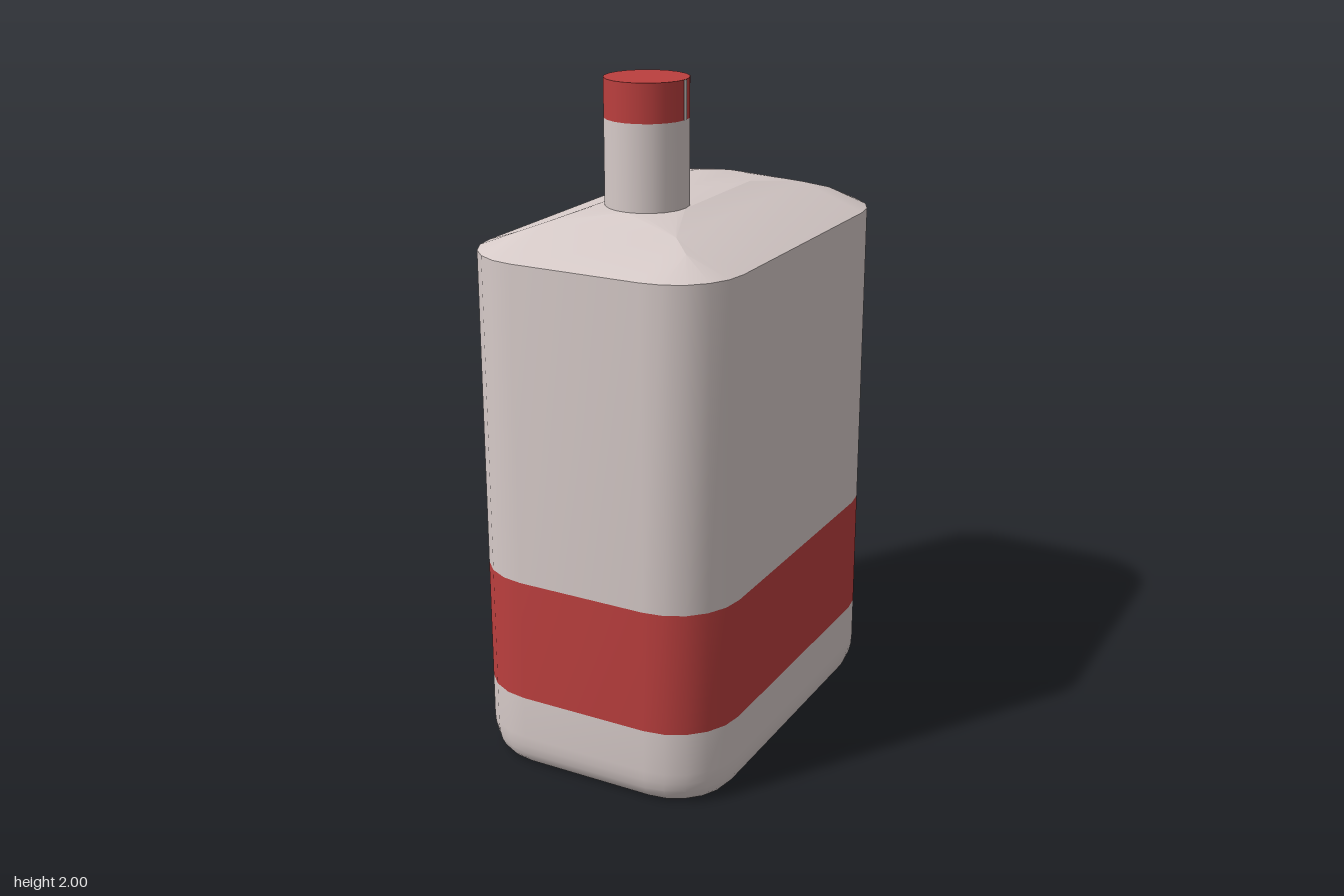
import * as THREE from 'three';
import { toCreasedNormals } from 'three/addons/utils/BufferGeometryUtils.js';

const SEG = 5; // facets per rounded corner
const glass = new THREE.MeshStandardMaterial({ color: 0xd6cac8 });
const red = new THREE.MeshStandardMaterial({ color: 0xbb3f3e });

// Ring at height y: four corners mirrored round, corner(angle, step) gives [x, z, y?] in the +x +z quarter
function ring(y, corner) {
  const pts = [];
  for (let q = 0; q < 4; q++) {
    const sx = q === 0 || q === 3 ? 1 : -1;
    const sz = q < 2 ? 1 : -1;
    for (let i = 0; i <= SEG; i++) {
      const k = q % 2 ? SEG - i : i;
      const [x, z, h = y] = corner((k / SEG) * Math.PI / 2, k);
      pts.push(new THREE.Vector3(sx * x, h, sz * z));
    }
  }
  return pts;
}

// Rounded rectangle with corner centres at (cx, cz)
const rounded = (y, cx, cz, r) =>
  ring(y, (a) => [cx + r * Math.cos(a), cz + r * Math.sin(a)]);
const bodyRing = (y, inset = 0) => rounded(y, 0.2, 0.4, 0.2 - inset);

// Skin a list of rings, leaving out collapsed triangles
function loft(name, rings, material) {
  const pos = [];
  const tri = new THREE.Triangle();
  const add = (a, b, c) => {
    tri.set(a, b, c);
    if (tri.getArea() > 1e-7) pos.push(...a.toArray(), ...b.toArray(), ...c.toArray());
  };
  for (let j = 0; j < rings.length - 1; j++) {
    const a = rings[j], b = rings[j + 1], n = a.length;
    for (let i = 0; i < n; i++) {
      const k = (i + 1) % n;
      add(a[i], b[i], a[k]);
      add(a[k], b[i], b[k]);
    }
  }
  const geo = new THREE.BufferGeometry();
  geo.setAttribute('position', new THREE.Float32BufferAttribute(pos, 3));
  const mesh = new THREE.Mesh(toCreasedNormals(geo, 0.35), material);
  mesh.name = name;
  return mesh;
}

function cylinder(name, y0, y1, material) {
  const mesh = new THREE.Mesh(new THREE.CylinderGeometry(0.12, 0.12, y1 - y0, 20), material);
  mesh.position.set(0, (y0 + y1) / 2, 0.2);
  mesh.name = name;
  return mesh;
}

export function createModel() {
  const group = new THREE.Group();
  group.name = 'bottle';

  // Base with a rounded lower edge
  const base = [rounded(0, 0, 0, 0)];
  for (let i = 0; i <= 5; i++) {
    const a = (i / 5) * Math.PI / 2;
    base.push(bodyRing(0.1 * (1 - Math.sin(a)), 0.045 * (1 - Math.cos(a))));
  }
  base.splice(1, base.length - 1, ...base.slice(1).reverse().map((r) => r));
  base.push(bodyRing(0.23));
  group.add(loft('base', base, glass));

  // Coloured band and plain upper body
  group.add(loft('band', [bodyRing(0.23), bodyRing(0.6)], red));
  group.add(loft('body', [bodyRing(0.6), bodyRing(1.54)], glass));

  // Sloping shoulder: mitred corners running up to a long round-ended flat top
  const mitre = ring(0, (a, k) => (k === 0 || k === SEG ? [0.2, 0.4, 1.615] : [0.262, 0.462, 1.592]));
  group.add(loft('shoulder', [
    bodyRing(1.54),
    mitre,
    rounded(1.615, 0.2, 0.4, 0),
    rounded(1.645, 0, 0.2, 0.12),
    rounded(1.645, 0, 0, 0),
  ], glass));

  // Neck and cap, set toward the front
  group.add(cylinder('neck', 1.64, 1.89, glass));
  group.add(cylinder('cap', 1.89, 2, red));

  // Narrow seam down the side of the cap
  const seam = new THREE.Mesh(new THREE.BoxGeometry(0.004, 0.109, 0.014), glass);
  seam.position.set(0.119, 1.945, 0.2);
  seam.name = 'capSeam';
  group.add(seam);

  return group;
}
